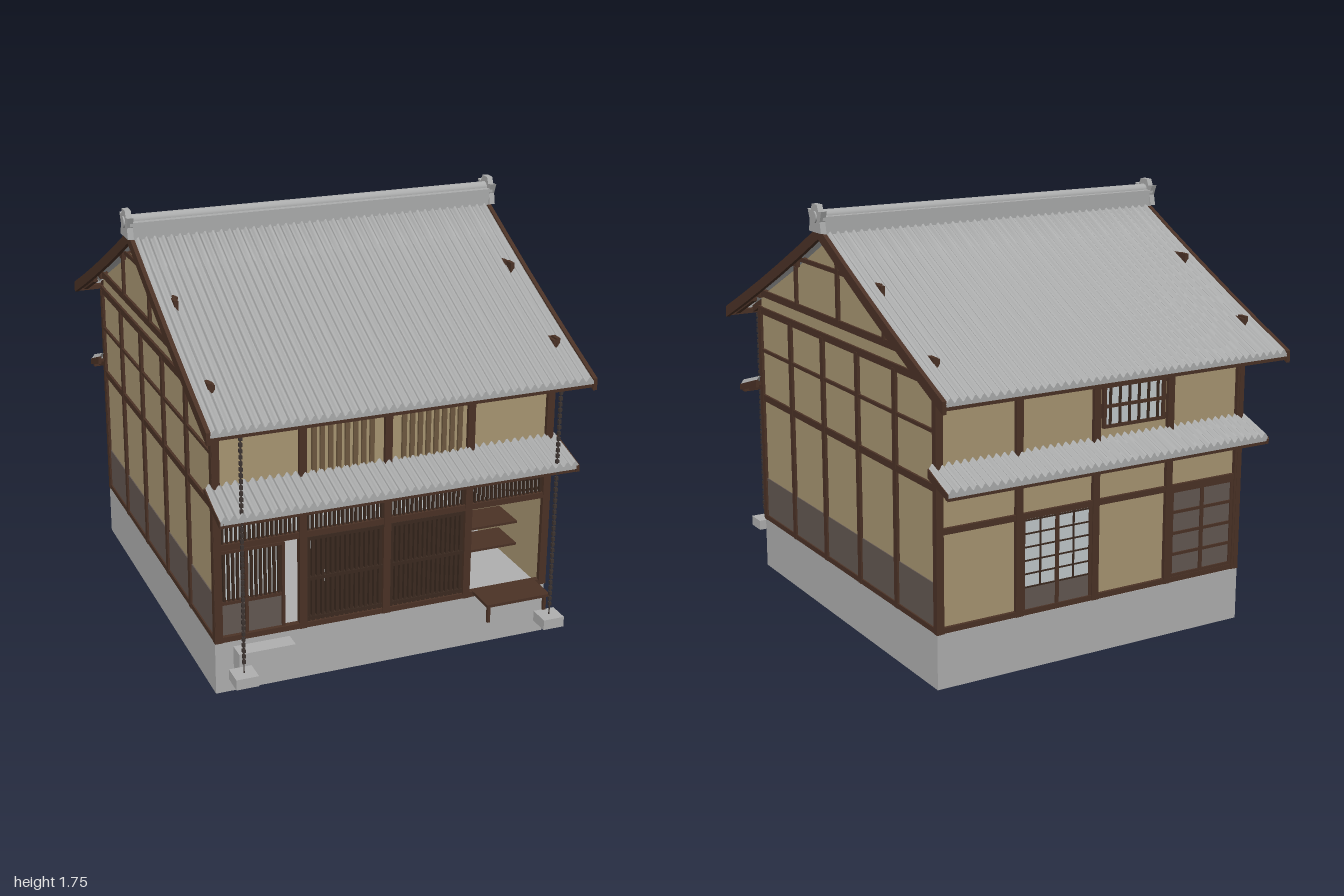
import * as THREE from 'three';
import { toCreasedNormals } from 'three/addons/utils/BufferGeometryUtils.js';

const mat = (name, color, side = THREE.FrontSide) => {
  const m = new THREE.MeshStandardMaterial({ color, side });
  m.name = name;
  return m;
};

export function createModel() {
  const tile = mat('roof tile grey', 0xacadad, THREE.DoubleSide);
  const stone = mat('stone grey', 0xb0b0b0, THREE.DoubleSide);
  const plaster = mat('ochre plaster', 0xa99773);
  const wood = mat('dark timber', 0x4b3226);
  const slat = mat('lattice brown', 0x3b2a20);
  const window = mat('window slat brown', 0x6e5940);
  const board = mat('weathered board', 0x645852);
  const paper = mat('window paper', 0xc3cacd);
  const iron = mat('chain iron', 0x3d3431);

  const house = new THREE.Group();
  house.name = 'townHouse';

  const add = (name, geo, m) => {
    const mesh = new THREE.Mesh(geo, m);
    mesh.name = name;
    house.add(mesh);
    return mesh;
  };
  // Box given by its limits
  const box = (name, m, x0, x1, y0, y1, z0, z1) => {
    const g = new THREE.BoxGeometry(Math.abs(x1 - x0), y1 - y0, Math.abs(z1 - z0));
    return add(name, g.translate((x0 + x1) / 2, (y0 + y1) / 2, (z0 + z1) / 2), m);
  };
  // Outline of [z, y] points extruded from x0 to x1
  const slab = (name, m, pts, x0, x1) => {
    const shape = new THREE.Shape(pts.map(([z, y]) => new THREE.Vector2(-z, y)));
    const g = new THREE.ExtrudeGeometry(shape, { depth: x1 - x0, bevelEnabled: false });
    return add(name, g.rotateY(Math.PI / 2).translate(x0, 0, 0), m);
  };
  // Row of upright bars
  const bars = (name, m, n, x0, x1, w, y0, y1, z0, z1) => {
    for (let i = 0; i < n; i++) {
      const x = x0 + (x1 - x0) * (i + 0.5) / n;
      box(name, m, x - w / 2, x + w / 2, y0, y1, z0, z1);
    }
  };
  // Corrugated tile sheet; rows are [z, y, wave height], z ascending
  const tiles = (name, halfW, waves, rows) => {
    const cols = waves * 8, pos = [], idx = [];
    for (const [z, y, amp] of rows)
      for (let i = 0; i <= cols; i++)
        pos.push(-halfW + 2 * halfW * i / cols, y - amp * Math.cos(i / 8 * Math.PI * 2), z);
    for (let j = 0; j < rows.length - 1; j++)
      for (let i = 0; i < cols; i++) {
        const a = j * (cols + 1) + i, b = a + cols + 1;
        idx.push(a, b, a + 1, a + 1, b, b + 1);
      }
    const g = new THREE.BufferGeometry();
    g.setAttribute('position', new THREE.Float32BufferAttribute(pos, 3));
    g.setIndex(idx);
    add(name, toCreasedNormals(g, 1.0), tile);
  };

  // Foundation: open ring with the floor on top
  for (const s of [-1, 1]) {
    box('foundationSide', stone, s * 0.7, s * 0.71, 0, 0.22, -0.8, 0.79);
    const z = s > 0 ? 0.79 : -0.8;
    box('foundationEnd', stone, -0.7, 0.7, 0, 0.22, z, z - s * 0.01);
  }
  box('floor', stone, -0.7, 0.7, 0.21, 0.22, -0.79, 0.78);

  // Main roof, slightly hollow in slope
  const roofY = (z) => 1.655 - 0.535 * Math.abs(z) + 0.045 * z * z;
  const steps = [-0.985, -0.8, -0.6, -0.4, -0.2, 0, 0.2, 0.4, 0.6, 0.8, 0.985];
  tiles('mainRoof', 0.77, 45, [[-0.985, 1.15, 0], ...steps.map((z) => [z, roofY(z), 0.009]), [0.985, 1.15, 0]]);
  for (const s of [-1, 1]) {
    // Bargeboards, fascia, rafters and purlin ends
    const zs = steps.filter((z) => z >= 0);
    const curve = [...zs.map((z) => [s * z, roofY(z)]), ...zs.reverse().map((z) => [s * z, roofY(z) - 0.048])];
    for (const x of [-0.785, 0.768]) slab('bargeboard', wood, curve, x, x + 0.017);
    box('eaveFascia', wood, -0.77, 0.77, 1.135, 1.155, s * 0.955, s * 0.98);
    for (let i = 0; i < 19; i++) {
      const x = -0.74 + i * 1.48 / 18;
      slab('rafter', wood, [[s * 0.76, roofY(0.76) - 0.015], [s * 0.96, roofY(0.96) - 0.015],
        [s * 0.96, roofY(0.96) - 0.045], [s * 0.76, roofY(0.76) - 0.045]], x - 0.01, x + 0.01);
    }
    for (const [z, y] of [[0.78, 1.27], [0.38, 1.465]])
      for (const x of [-0.71, 0.71])
        box('purlinEnd', wood, x - 0.008, x + 0.008, y - 0.03, y + 0.014, s * z - 0.022, s * z + 0.022);
  }

  // Ridge with end ornaments
  box('ridgeCourse', tile, -0.78, 0.78, 1.63, 1.69, -0.045, 0.045);
  box('ridgeCap', tile, -0.785, 0.785, 1.685, 1.7, -0.052, 0.052);
  add('ridgeRoll', new THREE.CylinderGeometry(0.025, 0.025, 1.58, 12).rotateZ(Math.PI / 2).translate(0, 1.698, 0), tile);
  const ornament = [[-0.055, 1.635], [0.055, 1.635], [0.045, 1.68], [0.062, 1.722], [0.035, 1.718],
    [0.022, 1.745], [-0.022, 1.745], [-0.035, 1.718], [-0.062, 1.722], [-0.045, 1.68]];
  for (const s of [-1, 1]) {
    slab('ridgeOrnament', tile, ornament, s * 0.785 - 0.012, s * 0.785 + 0.012);
    add('ridgeBoss', new THREE.CylinderGeometry(0.024, 0.024, 0.02, 12).rotateZ(Math.PI / 2).translate(s * 0.793, 1.695, 0), tile);
  }

  // Pent roofs over the ground floor
  for (const [s, end] of [[1, 0.97], [-1, 0.935]]) {
    const rows = [[s * 0.785, 0.877, 0.009], [s * end, 0.822, 0.009], [s * end, 0.797, 0]];
    tiles('pentRoof', 0.735, 43, s > 0 ? rows : rows.reverse());
    slab('pentBacking', wood, [[s * 0.785, 0.86], [s * (end - 0.005), 0.808], [s * (end - 0.005), 0.793], [s * 0.785, 0.845]], -0.725, 0.725);
    for (const x of [-0.738, 0.724])
      slab('pentBargeboard', wood, [[s * 0.785, 0.87], [s * end, 0.812], [s * end, 0.785], [s * 0.785, 0.835]], x, x + 0.014);
    box('pentFascia', wood, -0.73, 0.73, 0.782, 0.8, s * (end - 0.03), s * (end - 0.008));
    for (let i = 0; i < 17; i++) {
      const x = -0.7 + i * 1.4 / 16;
      slab('pentRafter', wood, [[s * 0.785, 0.85], [s * (end - 0.02), 0.8], [s * (end - 0.02), 0.782], [s * 0.785, 0.825]], x - 0.008, x + 0.008);
    }
  }

  // Gable walls with timber frame
  const wallZ = [-0.78, -0.4, 0, 0.4, 0.78];
  const gable = [[-0.78, 0.22], [0.78, 0.22], ...wallZ.slice().reverse().map((z) => [z, roofY(z) - 0.025])];
  for (const s of [-1, 1]) {
    const x0 = s * 0.69, x1 = s * 0.712;
    slab('gableWall', plaster, gable, s > 0 ? 0.68 : -0.7, s > 0 ? 0.7 : -0.68);
    box('sideBoarding', board, s * 0.699, s * 0.704, 0.24, 0.415, -0.78, 0.78);
    for (let i = 0; i < 6; i++) {
      const z = -0.788 + i * 0.3145;
      box('sidePost', wood, x0, x1, 0.22, 1.18, z - 0.014, z + 0.014);
    }
    for (const [y, h, w] of [[0.231, 0.022, 0.8], [0.79, 0.028, 0.8], [1.005, 0.014, 0.79], [1.183, 0.03, 0.8], [1.262, 0.03, 0.8], [1.47, 0.018, 0.36]])
      box('sideBeam', wood, x0, s * 0.71, y - h / 2, y + h / 2, -w, w);
    box('gablePost', wood, x0, x1, 1.27, 1.63, -0.011, 0.011);
    for (const z of [-0.395, 0.395]) box('gableStrut', wood, x0, x1, 1.27, 1.43, z - 0.009, z + 0.009);
  }

  // Posts and beams on front and back
  for (const s of [-1, 1]) {
    for (const x of [-0.695, -0.35, 0, 0.35, 0.695])
      box('framePost', wood, x - 0.015, x + 0.015, 0.22, 1.2, s * 0.77, s * 0.8);
    for (const [y0, y1] of [[0.22, 0.242], [0.608, 0.632], [0.765, 0.795], [1.12, 1.132], [1.17, 1.2]])
      box('frameBeam', wood, -0.7, 0.7, y0, y1, s * 0.772, s * 0.797);
  }

  // Front upper wall with slatted windows
  box('frontUpperWall', plaster, -0.69, 0.69, 0.78, 1.22, 0.765, 0.783);
  for (const s of [-1, 1]) {
    bars('upperWindowSlat', window, 8, s * 0.05, s * 0.32, 0.018, 0.86, 1.13, 0.783, 0.795);
  }
  // Transom lattice
  box('transomPaper', paper, -0.69, 0.69, 0.63, 0.77, 0.768, 0.774);
  for (let i = 0; i < 4; i++)
    bars('transomBar', slat, 18, -0.68 + i * 0.345, -0.355 + i * 0.345, 0.008, 0.63, 0.77, 0.775, 0.79);
  // Central lattice doors
  for (const s of [-1, 1]) {
    box('doorPaper', paper, s * 0.015, s * 0.335, 0.24, 0.61, 0.762, 0.768);
    bars('doorBar', slat, 16, s * 0.015, s * 0.335, 0.012, 0.24, 0.61, 0.77, 0.79);
    for (const y of [0.255, 0.425, 0.597])
      box('doorRail', slat, s * 0.015, s * 0.335, y - 0.007, y + 0.007, 0.768, 0.792);
  }
  // Left sliding door beside an open gap
  box('slidingDoorPaper', paper, -0.68, -0.43, 0.38, 0.6, 0.762, 0.768);
  box('slidingDoorPanel', board, -0.68, -0.43, 0.24, 0.38, 0.762, 0.78);
  bars('slidingDoorBar', slat, 13, -0.675, -0.435, 0.009, 0.38, 0.6, 0.77, 0.785);
  for (const x of [-0.682, -0.577, -0.428]) box('slidingDoorStile', wood, x - 0.006, x + 0.006, 0.24, 0.6, 0.765, 0.789);
  for (const y of [0.38, 0.595]) box('slidingDoorRail', wood, -0.68, -0.425, y - 0.006, y + 0.006, 0.765, 0.788);

  // Open shop bay: shelves and fold-down bench
  for (const y of [0.328, 0.428]) box('shelf', wood, 0.375, 0.665, y - 0.005, y + 0.005, 0.46, 0.62);
  box('bench', wood, 0.38, 0.66, 0.233, 0.245, 0.79, 0.93);
  for (const x of [0.395, 0.645]) box('benchLeg', wood, x - 0.006, x + 0.006, 0.16, 0.235, 0.905, 0.918);

  // Back wall
  box('backWall', plaster, -0.69, 0.69, 0.22, 1.22, -0.783, -0.765);
  box('backWindowPaper', paper, 0.02, 0.33, 0.33, 0.608, -0.788, -0.782);
  box('backWindowPanel', board, 0.02, 0.33, 0.24, 0.33, -0.79, -0.782);
  bars('backWindowBar', slat, 5, -0.015, 0.365, 0.007, 0.33, 0.608, -0.792, -0.782);
  for (const x of [0.02, 0.175, 0.33]) box('backWindowStile', wood, x - 0.008, x + 0.008, 0.24, 0.608, -0.794, -0.782);
  for (let i = 0; i < 6; i++) box('backWindowRail', slat, 0.02, 0.33, 0.328 + i * 0.054, 0.334 + i * 0.054, -0.792, -0.782);
  // Boarded back door, seen from both sides
  box('backDoor', board, -0.68, -0.365, 0.24, 0.608, -0.789, -0.76);
  for (const x of [-0.675, -0.522, -0.37]) box('backDoorStile', wood, x - 0.008, x + 0.008, 0.24, 0.608, -0.795, -0.785);
  for (let i = 0; i < 5; i++) box('backDoorRail', wood, -0.68, -0.365, 0.242 + i * 0.089, 0.254 + i * 0.089, -0.795, -0.785);
  // Small upper back window
  box('upperBackPaper', paper, -0.31, -0.04, 0.92, 1.08, -0.788, -0.782);
  bars('upperBackBar', slat, 6, -0.31, -0.04, 0.008, 0.92, 1.08, -0.797, -0.785);
  for (const y of [0.92, 1.0, 1.08]) box('upperBackRail', wood, -0.32, -0.03, y - 0.006, y + 0.006, -0.798, -0.782);
  for (const x of [-0.315, -0.035]) box('upperBackStile', wood, x - 0.007, x + 0.007, 0.915, 1.085, -0.798, -0.782);

  // Stone step, rain chains and their catch stones
  box('stoneStep', stone, -0.64, -0.41, 0.11, 0.2, 0.802, 0.872);
  for (const x of [-0.65, 0.645]) {
    box('catchStone', stone, x - 0.045, x + 0.045, 0.127, 0.17, 0.912, 1);
    for (let i = 0; i < 39; i++) {
      const y = 0.21 + i * 0.0238;
      box('rainChainLink', iron, x - 0.006, x + 0.006, y, y + 0.015, 0.951, 0.963);
    }
    box('rainChainCord', iron, x - 0.002, x + 0.002, 0.17, 1.15, 0.955, 0.959);
  }
  return house;
}
